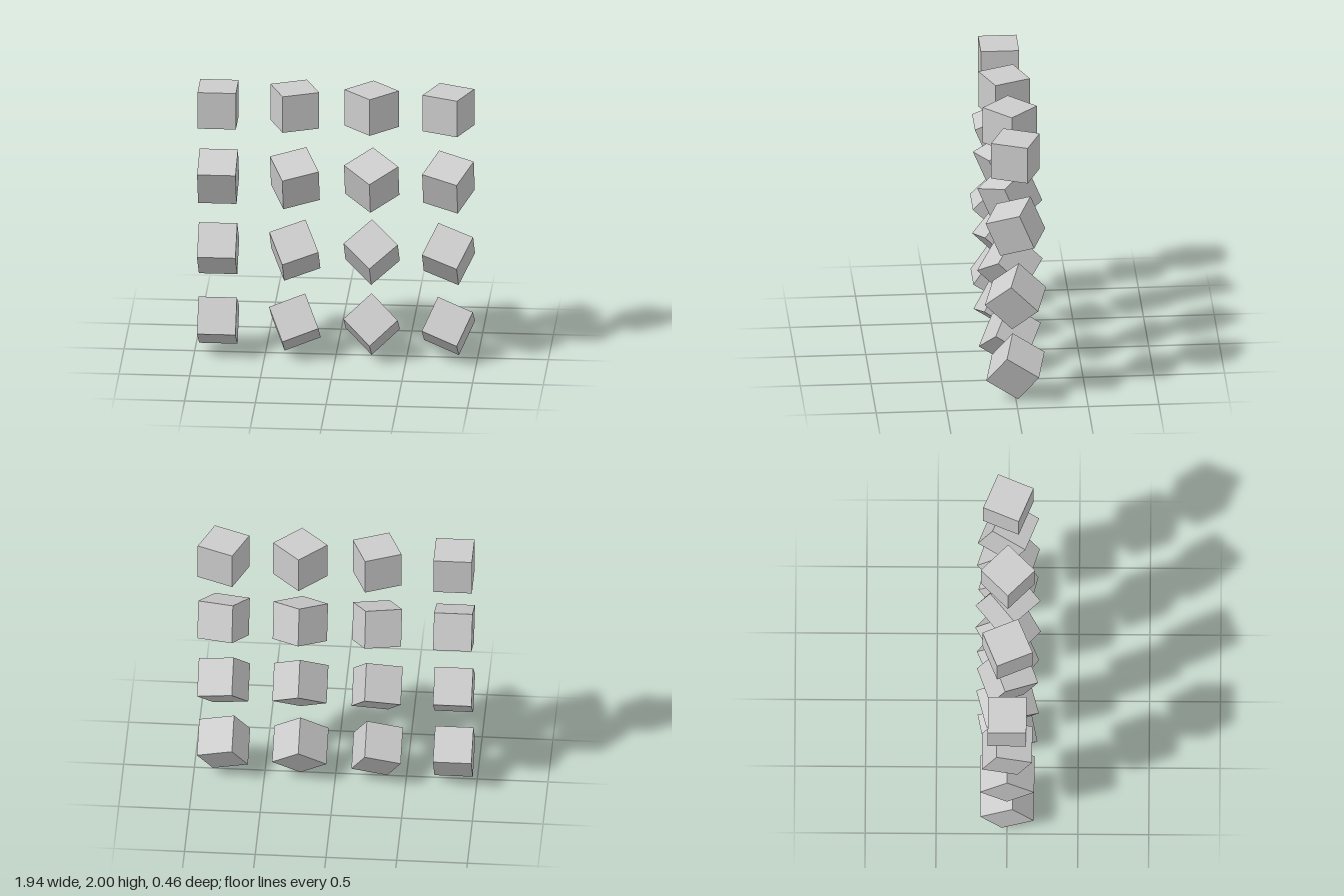
import * as THREE from 'three';

// A 4 x 4 grid of equal cubes: each column turns further about y,
// each lower row tips further forward about x.
export function createModel() {
  const model = new THREE.Group();
  model.name = 'cubeGrid';

  const size = 0.2715;
  const spacing = size * 2;
  const left = -0.8353;
  const top = 2 - size / 2;
  const turns = [0, 22.5, 45, 67.5];
  const tilts = [0, 22.5, 45, 56.25];

  const grey = new THREE.MeshStandardMaterial({ color: 0xcccccc });
  grey.name = 'light grey';
  const geometry = new THREE.BoxGeometry(size, size, size);

  tilts.forEach((tilt, row) => {
    turns.forEach((turn, column) => {
      const cube = new THREE.Mesh(geometry, grey);
      cube.name = `cubeRow${row + 1}Column${column + 1}`;
      cube.position.set(left + column * spacing, top - row * spacing, 0);
      // Order XYZ turns the cube first, then tips it forward
      cube.rotation.set(THREE.MathUtils.degToRad(tilt), THREE.MathUtils.degToRad(turn), 0);
      model.add(cube);
    });
  });

  return model;
}
